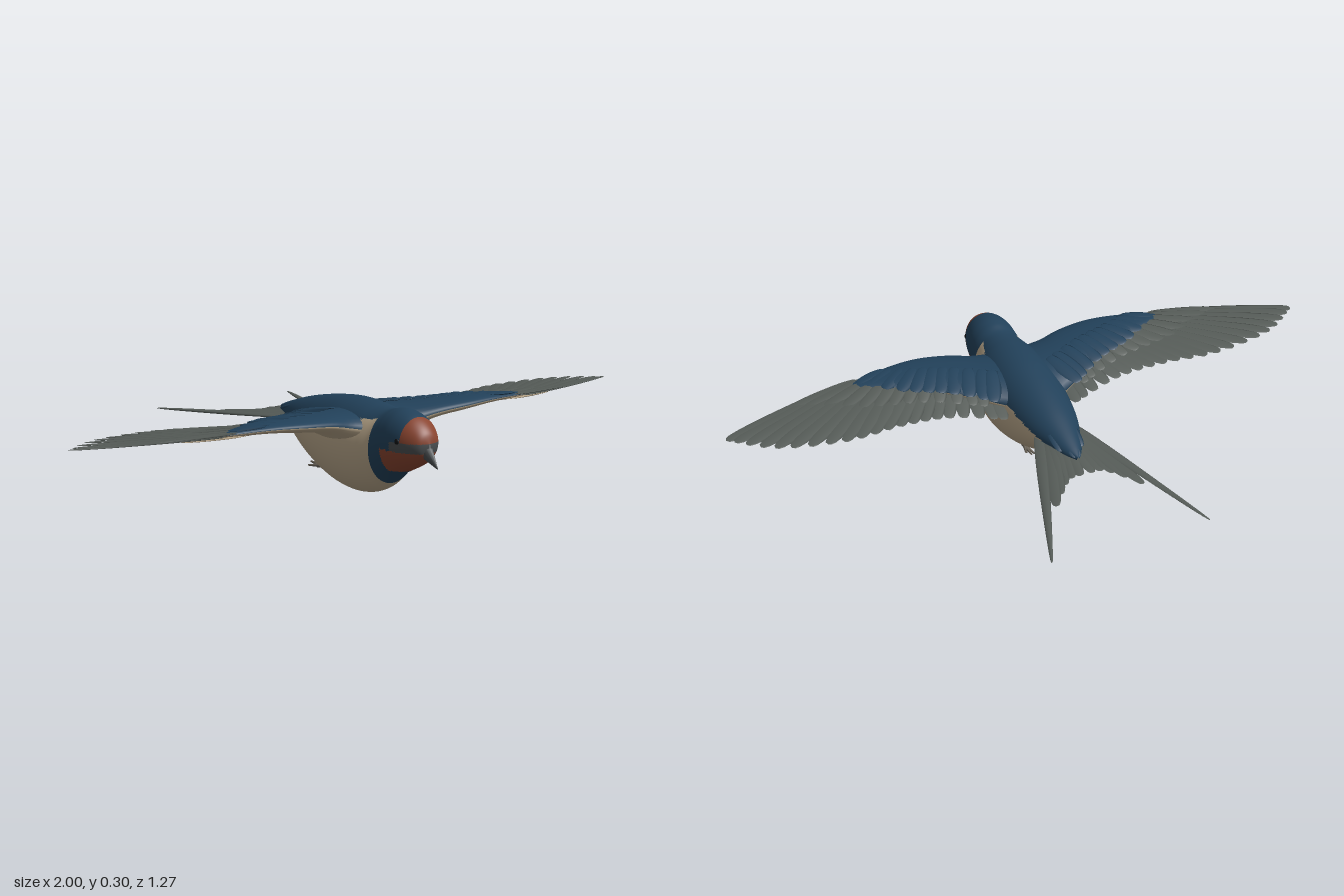
import * as THREE from 'three';

const mat = (name, color) => Object.assign(new THREE.MeshStandardMaterial({ color }), { name });
const blue = mat('deep blue plumage', 0x22415a);
const cream = mat('cream belly', 0xb8a68a);
const rust = mat('rust face', 0x8a4530);
const grey = mat('grey flight feathers', 0x555b57);
const dark = mat('dark grey beak and lores', 0x4a4e50);
const black = mat('black eye', 0x101214);
const footGrey = mat('foot grey', 0x6e675c);

const V = (x, y, z) => new THREE.Vector3(x, y, z);

// Smooth interpolation through rows of numbers, t from 0 to 1
function sample(rows, t) {
  const f = t * (rows.length - 1), i = Math.min(Math.floor(f), rows.length - 2), u = f - i;
  const at = k => rows[Math.max(0, Math.min(rows.length - 1, k))];
  return rows[0].map((_, c) => {
    const [a, b, d, e] = [at(i - 1)[c], at(i)[c], at(i + 1)[c], at(i + 2)[c]];
    return b + 0.5 * u * (d - a + u * (2 * a - 5 * b + 4 * d - e + u * (3 * (b - d) + e - a)));
  });
}

// Closed skin of rings; each face is coloured by pick(centre, angle)
function loft(name, point, nu, nv, mats, pick) {
  const pts = [], faces = mats.map(() => []);
  for (let i = 0; i <= nu; i++)
    for (let j = 0; j < nv; j++) pts.push(point(i / nu, (j / nv) * Math.PI * 2));
  for (let i = 0; i < nu; i++)
    for (let j = 0; j < nv; j++) {
      const k = (j + 1) % nv, a = i * nv + j, b = i * nv + k, c = a + nv, d = b + nv;
      for (const tri of [[a, b, c], [b, d, c]]) {
        const centre = V(0, 0, 0);
        tri.forEach(n => centre.addScaledVector(pts[n], 1 / 3));
        faces[pick(centre, ((j + 0.5) / nv) * Math.PI * 2)].push(...tri);
      }
    }
  const g = new THREE.BufferGeometry().setFromPoints(pts);
  g.setIndex(faces.flat());
  let start = 0;
  faces.forEach((f, m) => { g.addGroup(start, f.length, m); start += f.length; });
  g.computeVertexNormals();
  const mesh = new THREE.Mesh(g, mats);
  mesh.name = name;
  return mesh;
}

// Thin lens-shaped feather running from base to tip
function feather(name, base, tip, half, material, { taper = 0, roll = 0, thick = 0.004 } = {}) {
  const g = new THREE.SphereGeometry(1, 8, 14).rotateX(Math.PI / 2);
  const p = g.attributes.position;
  for (let i = 0; i < p.count; i++) {
    const z = p.getZ(i), r = Math.sqrt(Math.max(0, 1 - z * z));
    const w = r > 1e-4 ? Math.pow(r, -0.45) * (1 - taper * (z + 1) / 2) : 0;
    p.setX(i, p.getX(i) * w);
  }
  g.scale(half, thick, base.distanceTo(tip) / 2);
  g.computeVertexNormals();
  const m = new THREE.Mesh(g, material);
  m.name = name;
  m.position.copy(base).lerp(tip, 0.5);
  m.lookAt(tip);
  m.rotateZ(roll);
  return m;
}

// A row of feathers; bases and tips are rows of [x, y, z]
function featherRow(group, name, s, n, bases, tips, half, material, opts = {}) {
  for (let i = 0; i < n; i++) {
    const t = i / (n - 1), b = sample(bases, t), e = sample(tips, t);
    group.add(feather(name, V(s * b[0], b[1], b[2]), V(s * e[0], e[1], e[2]), half, material,
      { roll: -s * 0.14, ...opts }));
  }
}

// Body rings: z, top, bottom, half width
const bodyRings = [
  [0.595, 0.212, 0.2, 0.002], [0.585, 0.244, 0.172, 0.034], [0.56, 0.27, 0.146, 0.056],
  [0.525, 0.289, 0.126, 0.073], [0.48, 0.299, 0.105, 0.083], [0.44, 0.297, 0.084, 0.086],
  [0.4, 0.288, 0.053, 0.092], [0.36, 0.288, 0.025, 0.107], [0.31, 0.292, 0.006, 0.122],
  [0.25, 0.294, 0, 0.128], [0.18, 0.291, 0.007, 0.127], [0.1, 0.28, 0.028, 0.118],
  [0.02, 0.265, 0.06, 0.104], [-0.06, 0.246, 0.1, 0.083], [-0.14, 0.222, 0.137, 0.054],
  [-0.2, 0.202, 0.158, 0.03], [-0.24, 0.187, 0.172, 0.004]];

function bodyColour(p) {
  if (p.z < 0.4) return p.y < 0.2 + 0.155 * p.z ? 1 : 0;
  if (p.y > 0.214) return p.z > 0.535 ? 2 : 0;
  if (p.y > 0.183) return p.z > 0.495 ? 3 : 0;
  return p.z > 0.45 && p.y > 0.108 ? 2 : 0;
}

// Arm of the wing: x, front z, rear z, height, half thickness, drop at the rear
const armRings = [
  [0.04, 0.37, 0.05, 0.215, 0.06, 0.02], [0.12, 0.365, 0.1, 0.232, 0.045, 0.02],
  [0.2, 0.38, 0.14, 0.25, 0.03, 0.016], [0.3, 0.388, 0.2, 0.26, 0.023, 0.012],
  [0.4, 0.375, 0.24, 0.264, 0.017, 0.008], [0.5, 0.352, 0.28, 0.261, 0.011, 0.004],
  [0.58, 0.335, 0.315, 0.256, 0.003, 0]];

function wing(s) {
  const g = new THREE.Group();
  g.name = s > 0 ? 'leftWing' : 'rightWing';
  g.add(loft('wingArm', (u, v) => {
    const [x, f, r, y, h, d] = sample(armRings, u), a = -s * v, c = Math.cos(a);
    return V(s * x, y + h * Math.sin(a) - d * (1 - c) / 2, (f + r) / 2 + c * (f - r) / 2);
  }, 28, 28, [blue, cream], (p, v) => (Math.sin(-s * v) > 0 ? 0 : 1)));

  // Long flight feathers fanning from the arm to the wing tip
  featherRow(g, 'flightFeather', s, 21,
    [[0.1, 0.24, 0.28], [0.22, 0.254, 0.29], [0.32, 0.258, 0.3], [0.41, 0.258, 0.31], [0.49, 0.258, 0.325], [0.56, 0.255, 0.34]],
    [[0.13, 0.188, 0.045], [0.3, 0.208, 0.095], [0.47, 0.226, 0.09], [0.66, 0.235, 0.068], [0.87, 0.242, 0.11], [1.0, 0.246, 0.205]],
    0.03, grey, { taper: 0.15 });
  // Middle row over the bases of the flight feathers
  featherRow(g, 'greaterCovert', s, 13,
    [[0.14, 0.265, 0.24], [0.3, 0.27, 0.28], [0.42, 0.268, 0.31], [0.52, 0.262, 0.342]],
    [[0.18, 0.225, 0.09], [0.36, 0.24, 0.17], [0.56, 0.25, 0.2], [0.76, 0.254, 0.288]],
    0.023, grey);
  // Blue coverts on the upper side
  featherRow(g, 'blueCovert', s, 11,
    [[0.1, 0.268, 0.22], [0.22, 0.274, 0.28], [0.32, 0.277, 0.31], [0.42, 0.273, 0.345]],
    [[0.15, 0.24, 0.08], [0.27, 0.252, 0.165], [0.4, 0.262, 0.22], [0.53, 0.264, 0.315]],
    0.026, blue, { thick: 0.006 });
  // Cream lining on the underside
  featherRow(g, 'underCovert', s, 12,
    [[0.12, 0.222, 0.26], [0.26, 0.238, 0.3], [0.4, 0.247, 0.32], [0.5, 0.25, 0.338]],
    [[0.16, 0.196, 0.12], [0.33, 0.222, 0.18], [0.5, 0.236, 0.23], [0.68, 0.247, 0.3]],
    0.025, cream);
  return g;
}

function tail() {
  const g = new THREE.Group();
  g.name = 'tail';
  // Half width and tip of each feather, from the middle outward
  const tips = [[0.02, 0.165, -0.305], [0.05, 0.163, -0.305], [0.082, 0.16, -0.325],
    [0.112, 0.157, -0.36], [0.147, 0.152, -0.405]];
  for (const s of [1, -1]) {
    tips.forEach((t, i) => g.add(feather('tailFeather', V(s * (0.006 + 0.009 * i), 0.192 - 0.002 * i, -0.09),
      V(s * t[0], t[1], t[2]), 0.022, grey, { roll: s * 0.1 })));
    g.add(feather('tailStreamer', V(s * 0.045, 0.185, -0.03), V(s * 0.263, 0.132, -0.632), 0.026, grey,
      { taper: 0.72, roll: s * 0.1, thick: 0.005 }));
    g.add(feather('upperTailCovert', V(s * 0.025, 0.225, -0.06), V(s * 0.03, 0.186, -0.19), 0.024, blue, { thick: 0.008 }));
  }
  g.add(feather('upperTailCovert', V(0, 0.222, -0.1), V(0, 0.183, -0.235), 0.024, blue, { thick: 0.008 }));
  return g;
}

// Tapered limb between two points
function limb(name, a, b, ra, rb, material) {
  const m = new THREE.Mesh(new THREE.CylinderGeometry(rb, ra, a.distanceTo(b), 10), material);
  m.name = name;
  m.position.copy(a).lerp(b, 0.5);
  m.quaternion.setFromUnitVectors(V(0, 1, 0), b.clone().sub(a).normalize());
  return m;
}

function ball(name, pos, scale, material) {
  const m = new THREE.Mesh(new THREE.SphereGeometry(1, 20, 14), material);
  m.name = name;
  m.position.copy(pos);
  m.scale.copy(scale);
  return m;
}

function foot(s) {
  const g = new THREE.Group();
  g.name = s > 0 ? 'leftFoot' : 'rightFoot';
  g.add(ball('thigh', V(s * 0.048, 0.062, 0.12), V(0.024, 0.022, 0.05), cream));
  const ankle = V(s * 0.05, 0.048, 0.075);
  g.add(limb('shank', V(s * 0.05, 0.05, 0.13), ankle, 0.009, 0.007, footGrey));
  for (const [dx, y, z] of [[-0.016, 0.042, 0.025], [0, 0.05, 0.015], [0.016, 0.058, 0.022], [0.004, 0.038, 0.045]])
    g.add(limb('toe', ankle, V(s * 0.05 + dx, y, z), 0.006, 0.003, footGrey));
  return g;
}

export function createModel() {
  const bird = new THREE.Group();
  bird.name = 'bird';
  bird.add(loft('body', (u, v) => {
    const [z, top, bottom, w] = sample(bodyRings, u);
    return V(w * Math.sin(v), (top + bottom) / 2 + (top - bottom) / 2 * Math.cos(v), z);
  }, 150, 80, [blue, cream, rust, dark], bodyColour));

  // Down-pointing beak
  const beak = limb('beak', V(0, 0.196, 0.565), V(0, 0.146, 0.635), 0.029, 0.002, dark);
  beak.scale.x = 0.85;
  bird.add(beak);

  for (const s of [1, -1]) {
    bird.add(ball('eye', V(s * 0.068, 0.216, 0.522), V(0.008, 0.011, 0.011), black));
    bird.add(wing(s), foot(s));
  }
  bird.add(tail());
  return bird;
}
